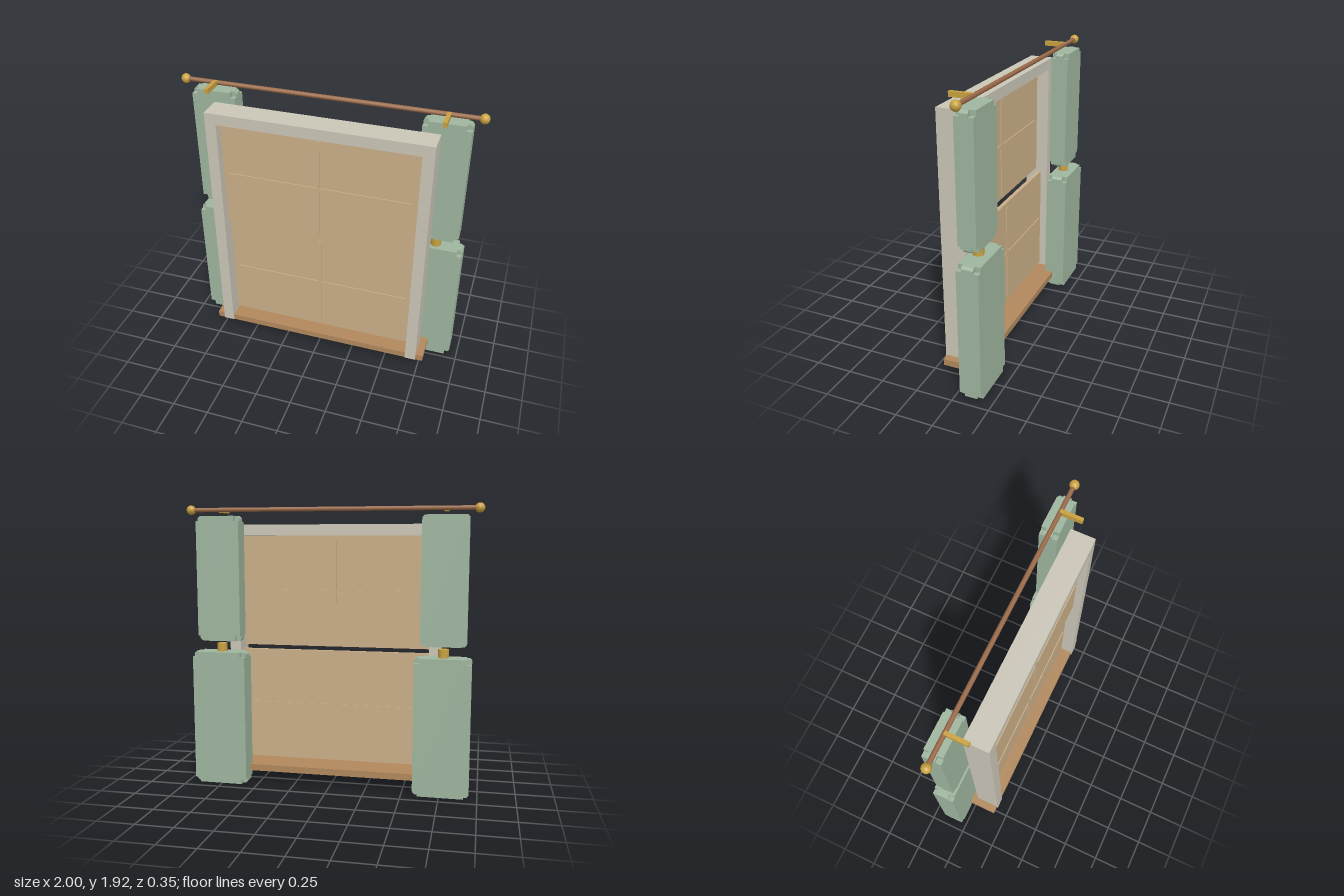
import * as THREE from 'three';

const mat = (name, color) => {
  const m = new THREE.MeshStandardMaterial({ color });
  m.name = name;
  return m;
};

export function createModel() {
  const root = new THREE.Group();
  root.name = 'shutteredWindow';
  const stone = mat('stone', 0xcac5b7);
  const tan = mat('tan', 0xc9ae87);
  const green = mat('sageGreen', 0x9eb59e);
  const wood = mat('wood', 0xb1885d);
  const rodBrown = mat('rodBrown', 0x9a6a48);
  const gold = mat('gold', 0xc9a13f);

  const add = (parent, name, geo, material, x = 0, y = 0, z = 0) => {
    const mesh = new THREE.Mesh(geo, material);
    mesh.name = name;
    mesh.position.set(x, y, z);
    parent.add(mesh);
    return mesh;
  };
  const box = (w, h, d) => new THREE.BoxGeometry(w, h, d);
  const group = (name, x, y, z) => {
    const g = new THREE.Group();
    g.name = name;
    g.position.set(x, y, z);
    root.add(g);
    return g;
  };

  // Frame: two posts and a head, open at the bottom
  const outline = new THREE.Shape([
    [-0.735, 0.078], [-0.66, 0.078], [-0.66, 1.715], [0.66, 1.715],
    [0.66, 0.078], [0.735, 0.078], [0.735, 1.79], [-0.735, 1.79],
  ].map(([x, y]) => new THREE.Vector2(x, y)));
  add(root, 'frame', new THREE.ExtrudeGeometry(outline, { depth: 0.165, bevelEnabled: false }), stone, 0, 0, 0.008);

  // Sill
  add(root, 'sill', box(1.57, 0.045, 0.25), wood, 0, 0.0975, 0.04);

  // Sashes with slim crossing bars; the lower one sits further back
  const sash = (name, y0, y1, z) => {
    const h = y1 - y0;
    const g = group(name, 0, (y0 + y1) / 2, z);
    add(g, 'pane', box(1.31, h, 0.028), tan);
    add(g, 'crossBar', box(1.24, 0.025, 0.042), tan);
    add(g, 'uprightBar', box(0.025, h - 0.07, 0.042), tan);
  };
  sash('upperSash', 0.95, 1.715, 0.107);
  sash('lowerSash', 0.145, 0.925, 0.069);

  // Shutter panel: a block with a small cube notched out of every corner
  const shutter = (name, w, h, d, x, y, c = 0.034, e = 0.015) => {
    const g = group(name, x, y + h / 2, -0.03 - d / 2);
    const a = w / 2, b = h / 2;
    const core = new THREE.Shape([
      [-a + e, -b], [a - e, -b], [a, -b + e], [a, b - e],
      [a - e, b], [-a + e, b], [-a, b - e], [-a, -b + e],
    ].map(([px, py]) => new THREE.Vector2(px, py)));
    const depth = d - 2 * c;
    add(g, 'panelCore', new THREE.ExtrudeGeometry(core, { depth, bevelEnabled: false }), green, 0, 0, -depth / 2);
    add(g, 'panelWide', box(w, h - 2 * c, d), green);
    add(g, 'panelTall', box(w - 2 * c, h, d), green);
  };

  for (const [side, s] of [['left', 1], ['right', -1]]) {
    shutter(side + 'LowerShutter', 0.37, 0.925, 0.145, s * 0.76, 0);
    shutter(side + 'UpperShutter', 0.3, 0.845, 0.12, s * 0.76, 1.0);
    // Peg on top of the lower shutter
    add(root, side + 'Peg', new THREE.CylinderGeometry(0.035, 0.035, 0.06, 12), gold, s * 0.76, 0.95, -0.09);
    // Rod bracket and ball end
    add(root, side + 'Bracket', box(0.025, 0.033, 0.15), gold, s * 0.758, 1.885, -0.005);
    add(root, side + 'Finial', new THREE.SphereGeometry(0.032, 12, 8), gold, s * 0.968, 1.887, -0.078);
  }

  // Curtain rod
  const rod = add(root, 'curtainRod', new THREE.CylinderGeometry(0.015, 0.015, 1.93, 10), rodBrown, 0, 1.887, -0.078);
  rod.rotation.z = Math.PI / 2;

  return root;
}
